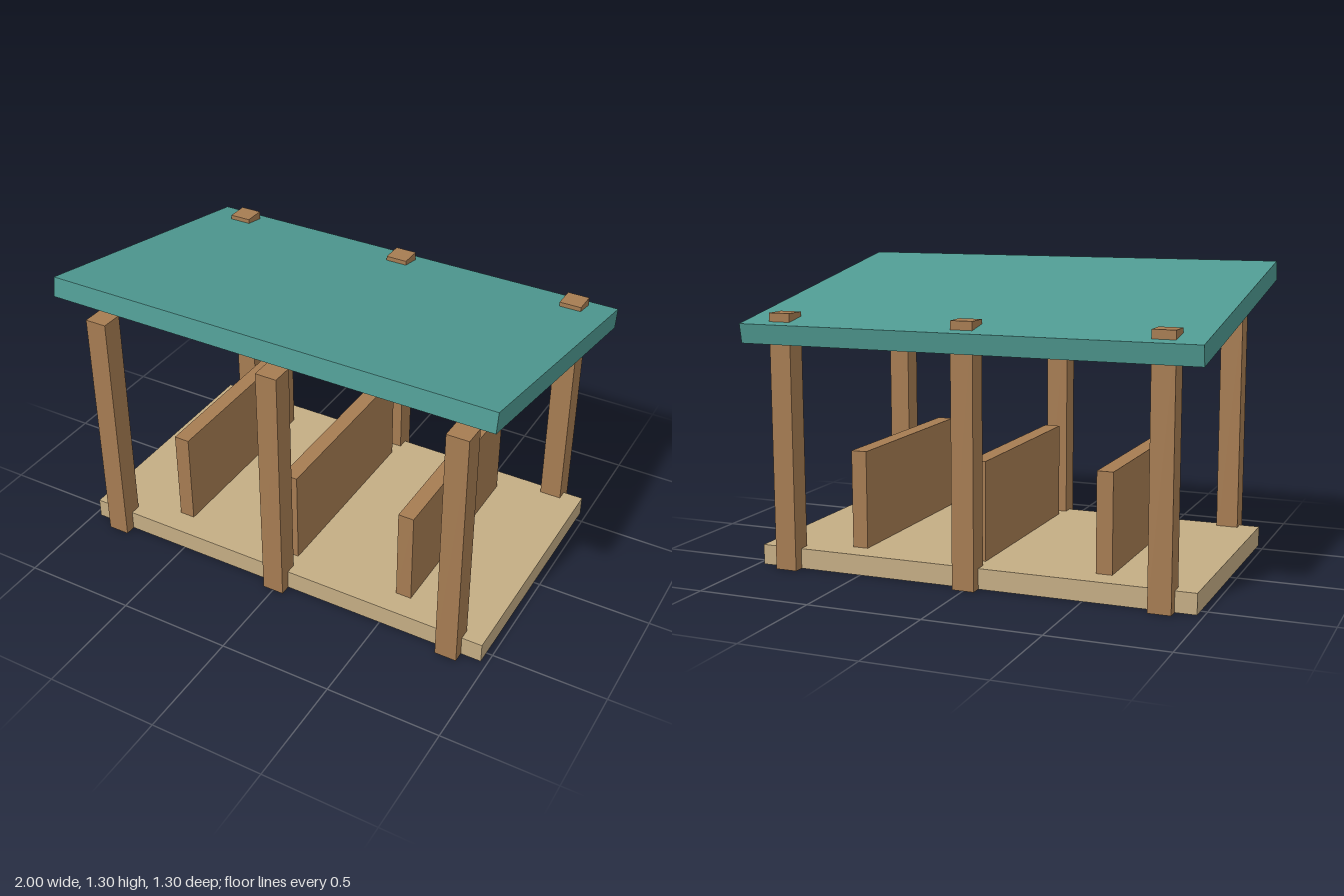
import * as THREE from 'three';

export function createModel() {
  const group = new THREE.Group();
  const material = (color) => new THREE.MeshStandardMaterial({ color });
  const wood = material(0xa67c52);
  const paleWood = material(0xc4ad84);
  const teal = material(0x4f9a92);

  function box(name, size, position, mat) {
    const mesh = new THREE.Mesh(new THREE.BoxGeometry(...size), mat);
    mesh.name = name;
    mesh.position.set(...position);
    group.add(mesh);
    return mesh;
  }

  // Floor platform
  box('floor', [1.944, 0.088, 1.111], [0, 0.044, 0], paleWood);

  // Three posts along the front and three along the back
  for (const z of [0.555, -0.555]) {
    for (const x of [-0.833, 0, 0.833]) {
      box(z > 0 ? 'frontPost' : 'backPost', [0.097, 1.111, 0.097], [x, 0.5555, z], wood);
    }
  }

  // Upright stall dividers standing on the floor
  for (const x of [-0.555, 0, 0.555]) {
    box('divider', [0.07, 0.426, 0.889], [x, 0.301, 0], wood);
  }

  // Slanted roof slab, high at the front; the back posts poke through it
  const roof = box('roof', [2, 0.086, 1.304], [0, 1.14, 0], teal);
  roof.rotation.x = -0.18;

  return group;
}
